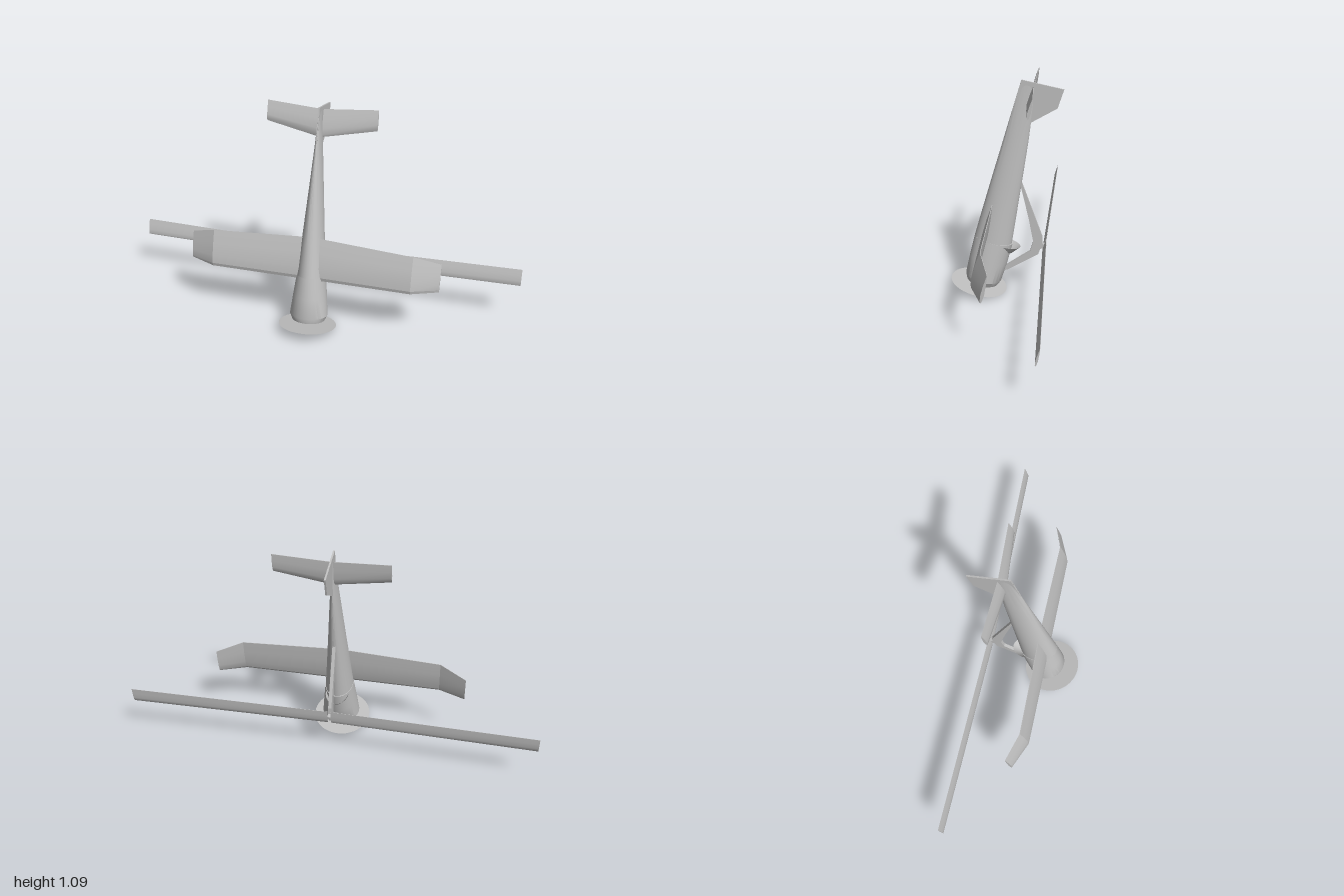
import * as THREE from 'three';
import { toCreasedNormals } from 'three/addons/utils/BufferGeometryUtils.js';

const grey = new THREE.MeshStandardMaterial({ color: 0xc0c0c0 });
grey.name = 'grey';
const greyThin = grey.clone();
greyThin.name = 'grey thin';
greyThin.side = THREE.DoubleSide;

// Skin a list of equal-length rings and close both ends.
function loft(rings, crease = 0.6) {
  const n = rings[0].length, pos = rings.flat(2), index = [];
  for (let i = 0; i < rings.length - 1; i++) {
    for (let j = 0; j < n; j++) {
      const a = i * n + j, b = i * n + (j + 1) % n;
      index.push(a, b, a + n, b, b + n, a + n);
    }
  }
  const last = (rings.length - 1) * n;
  for (let j = 1; j < n - 1; j++) {
    index.push(0, j + 1, j, last, last + j, last + j + 1);
  }
  const g = new THREE.BufferGeometry();
  g.setAttribute('position', new THREE.Float32BufferAttribute(pos, 3));
  g.setIndex(index);
  return toCreasedNormals(g, crease);
}

// Oval ring across the body axis: height, belly z, back z, half width.
function oval([y, belly, back, w], n = 32) {
  const c = (belly + back) / 2, r = (belly - back) / 2;
  return Array.from({ length: n }, (_, i) => {
    const t = (i / n) * Math.PI * 2;
    return [w * Math.sin(t), y, c + r * Math.cos(t)];
  });
}

// Aerofoil ring: span x, leading edge y, trailing edge y, z, half thickness.
const foil = [[1, 0.1], [0.65, 0.7], [0.3, 1], [0.08, 0.6], [0, 0],
  [0.08, -0.6], [0.3, -1], [0.65, -0.7], [1, -0.1]];
const section = ([x, le, te, z, h]) => foil.map(([f, t]) => [x, le + f * (te - le), z + t * h]);

// Stations run root to tip; the other side is mirrored and reversed.
const mirrored = (stations) => stations.map(([x, ...r]) => [-x, ...r]).reverse();

// Thin plate in the plane of symmetry from [z, y] corners.
function plate(points, thickness) {
  const g = new THREE.ExtrudeGeometry(
    new THREE.Shape(points.map((p) => new THREE.Vector2(...p))),
    { depth: thickness, bevelEnabled: false });
  return g.rotateY(-Math.PI / 2).translate(thickness / 2, 0, 0);
}

export function createModel() {
  const model = new THREE.Group();
  model.name = 'autogyro';
  const craft = new THREE.Group();
  craft.name = 'tiltedAircraft';
  craft.position.set(0, 0.0335, 0.135);
  craft.rotation.x = -0.2217;
  model.add(craft);

  const add = (name, geometry, material = grey) => {
    const mesh = new THREE.Mesh(geometry, material);
    mesh.name = name;
    craft.add(mesh);
    return mesh;
  };

  // Engine cowl with a recessed front opening
  add('cowl', loft([
    [0.045, 0.045, -0.07, 0.055],
    [0.023, 0.055, -0.082, 0.068],
    [0.023, 0.068, -0.096, 0.082],
    [0.05, 0.077, -0.106, 0.094],
    [0.15, 0.078, -0.113, 0.083],
    [0.26, 0.077, -0.116, 0.07],
  ].map((s) => oval(s)), 0.45));

  // Tapering rear body
  add('fuselage', loft([
    [0.255, 0.077, -0.112, 0.069],
    [0.42, 0.069, -0.099, 0.055],
    [0.59, 0.06, -0.086, 0.041],
    [0.8, 0.048, -0.069, 0.024],
    [0.893, 0.043, -0.059, 0.016],
    [1.0, 0.037, -0.05, 0.008],
    [1.08, 0.032, -0.04, 0.003],
  ].map((s) => oval(s))));

  // Flared windscreen lip behind the cowl
  const lip = new THREE.CylinderGeometry(1, 0.6, 0.04, 24, 1, true, Math.PI / 2, Math.PI);
  lip.scale(0.058, 1, 0.08).translate(0, 0.23, -0.077);
  add('windscreen', lip, greyThin);

  // Propeller disc, shaft and spinner
  add('propellerDisc', new THREE.CircleGeometry(0.143, 40).rotateX(Math.PI / 2), greyThin);
  add('propellerShaft', new THREE.CylinderGeometry(0.025, 0.025, 0.05, 16).translate(0, 0.023, -0.012));
  add('spinner', new THREE.ConeGeometry(0.025, 0.028, 16).rotateX(Math.PI).translate(0, -0.014, -0.012));

  // Main wing with raised tips
  const wing = [[0, 0.24, 0.455, 0.027, 0.014], [0.5, 0.24, 0.425, 0.027, 0.012],
    [0.63, 0.252, 0.391, -0.026, 0.008]];
  add('wing', loft([...mirrored(wing).slice(0, 2), ...wing].map(section), 0.3));

  // Tailplane halves and rotor blades
  const tail = [[0.008, 0.937, 1.07, -0.03, 0.011], [0.27, 0.99, 1.088, -0.037, 0.008]];
  const blade = [[0.008, 0.247, 0.326, -0.272, 0.006], [1, 0.253, 0.337, -0.292, 0.005]];
  for (const [side, order] of [['left', (s) => s], ['right', mirrored]]) {
    add(side + 'Tailplane', loft(order(tail).map(section)));
    add(side + 'RotorBlade', loft(order(blade).map(section)));
  }

  // Upright fin
  add('fin', plate([[-0.04, 0.88], [-0.059, 0.893], [-0.163, 0.991], [-0.171, 1.086],
    [0.032, 1.083], [0.04, 0.93]], 0.008));

  // Two-legged rotor pylon with its hub stub
  add('rotorPylon', plate([[-0.075, 0.605], [-0.252, 0.329], [-0.259, 0.296], [-0.28, 0.296],
    [-0.28, 0.28], [-0.255, 0.267], [-0.252, 0.236], [-0.124, 0.112], [-0.1, 0.1],
    [-0.1, 0.12], [-0.209, 0.242], [-0.212, 0.296], [-0.161, 0.414], [-0.075, 0.59]], 0.016));
  return model;
}
